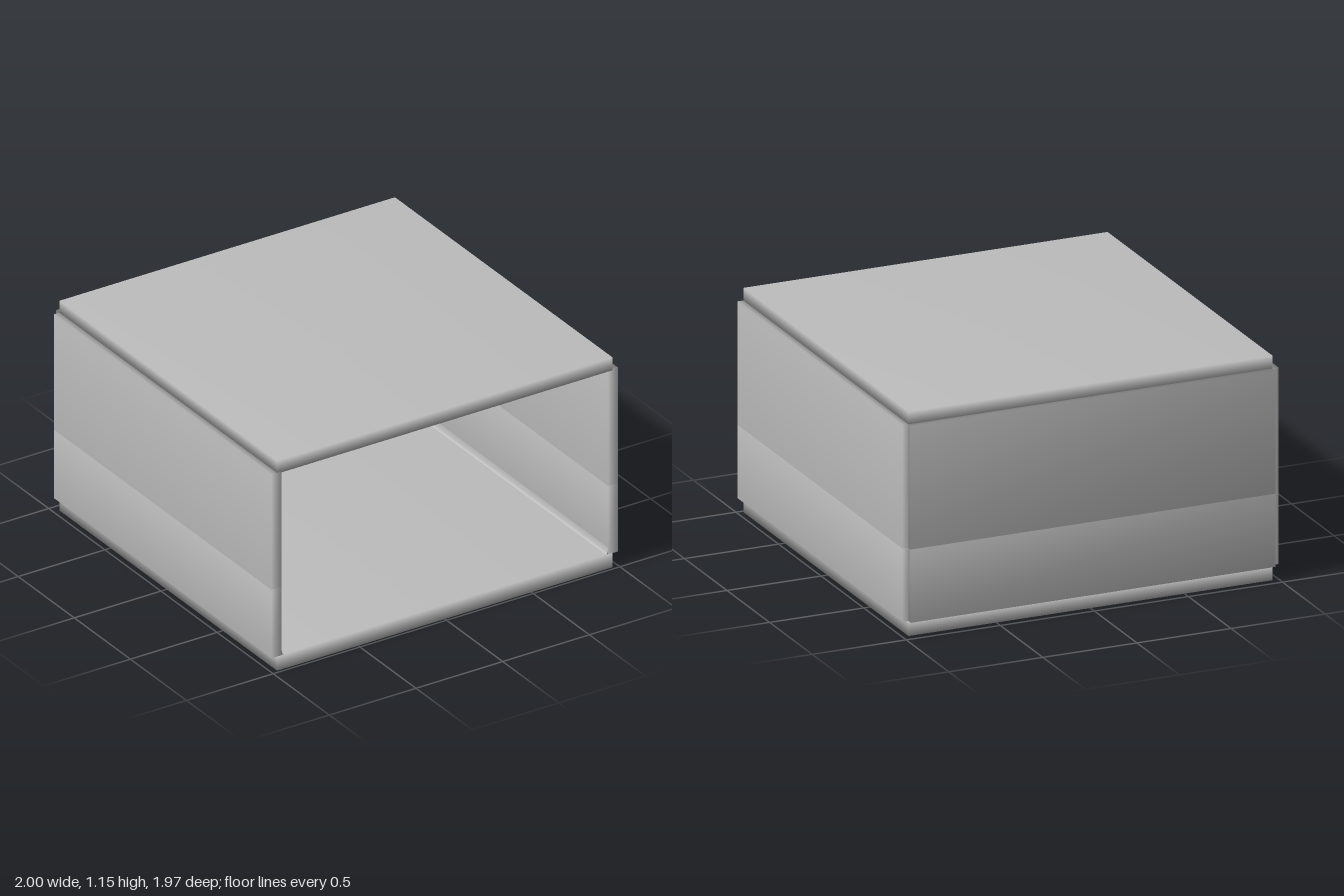
import * as THREE from 'three';
import { mergeVertices } from 'three/addons/utils/BufferGeometryUtils.js';

const grey = new THREE.MeshStandardMaterial({ color: 0xbcbcbc });
grey.name = 'plain grey';

function add(parent, name, geometry, x = 0, y = 0, z = 0) {
  const mesh = new THREE.Mesh(geometry, grey);
  mesh.name = name;
  mesh.position.set(x, y, z);
  parent.add(mesh);
  return mesh;
}

function group(parent, name) {
  const g = new THREE.Group();
  g.name = name;
  parent.add(g);
  return g;
}

// Box between two corners; soft boxes share their corner normals
function box(parent, name, [x0, x1], [y0, y1], [z0, z1], soft = false) {
  let geo = new THREE.BoxGeometry(x1 - x0, y1 - y0, z1 - z0);
  if (soft) {
    geo.deleteAttribute('normal');
    geo.deleteAttribute('uv');
    geo = mergeVertices(geo);
    geo.computeVertexNormals();
  }
  return add(parent, name, geo, (x0 + x1) / 2, (y0 + y1) / 2, (z0 + z1) / 2);
}

// Round bar bent through a few points
function bar(parent, name, points, radius) {
  const path = new THREE.CurvePath();
  const v = points.map((p) => new THREE.Vector3(...p));
  for (let i = 1; i < v.length; i++) path.add(new THREE.LineCurve3(v[i - 1], v[i]));
  return add(parent, name, new THREE.TubeGeometry(path, (v.length - 1) * 6, radius, 8));
}

// Concave skirting between floor and wall
function cove(parent, length) {
  const r = 0.035, t = 0.012;
  const s = new THREE.Shape();
  s.moveTo(0, 0);
  s.lineTo(t, 0);
  s.quadraticCurveTo(0.002, 0.004, 0, r);
  s.lineTo(0, 0);
  const geo = new THREE.ExtrudeGeometry(s, { depth: length, bevelEnabled: false, curveSegments: 6 });
  geo.translate(0, 0, -length / 2);
  return add(parent, 'skirtingCove', geo);
}

function buildRoom(model) {
  const room = group(model, 'room');
  const slabX = [-0.968, 0.968], slabZ = [-0.955, 0.985];
  box(room, 'floorSlab', slabX, [0, 0.08], slabZ, true);
  box(room, 'roofSlab', slabX, [1.085, 1.155], slabZ, true);

  // Each wall is a lower and an upper panel
  const bands = [['lower', [0.078, 0.455]], ['upper', [0.455, 1.09]]];
  for (const [level, y] of bands) {
    box(room, level + 'LeftWall', [0.942, 1], y, slabZ, true);
    box(room, level + 'RightWall', [-1, -0.942], y, slabZ, true);
    box(room, level + 'BackWall', [-0.968, 0.968], y, [-0.985, -0.927], true);
  }

  const length = 1.91;
  cove(room, length).position.set(-0.942, 0.08, 0.03);
  const left = cove(room, length);
  left.position.set(0.942, 0.08, 0.03);
  left.rotation.y = Math.PI;
  const back = cove(room, 1.884);
  back.position.set(0, 0.08, -0.927);
  back.rotation.y = -Math.PI / 2;
}

// Upright cabinet whose door faces the room's left
function buildCabinet(model, z) {
  const c = group(model, 'tallCabinet');
  c.position.z = z;
  box(c, 'cabinetBody', [-0.861, -0.69], [0.105, 0.71], [-0.1, 0.1]);
  box(c, 'cabinetDoor', [-0.687, -0.674], [0.115, 0.705], [-0.097, 0.097]);
  box(c, 'doorSeal', [-0.69, -0.687], [0.12, 0.7], [-0.09, 0.09]);
  for (const x of [-0.84, -0.7]) for (const fz of [-0.085, 0.085]) {
    add(c, 'foot', new THREE.CylinderGeometry(0.011, 0.011, 0.026, 10), x, 0.093, fz);
  }
  // Door furniture
  bar(c, 'doorHandle', [[-0.676, 0.435, 0.075], [-0.659, 0.43, 0.075], [-0.659, 0.395, 0.075], [-0.676, 0.39, 0.075]], 0.005);
  box(c, 'lock', [-0.674, -0.668], [0.445, 0.457], [0.068, 0.082]);
  box(c, 'displayPanel', [-0.674, -0.669], [0.59, 0.61], [-0.05, 0.05]);
  box(c, 'ventFrame', [-0.674, -0.67], [0.185, 0.23], [-0.05, 0.03]);
  for (let i = 0; i < 3; i++) {
    const y = 0.193 + i * 0.012;
    box(c, 'ventSlat', [-0.67, -0.667], [y, y + 0.005], [-0.044, 0.024]);
  }
}

function buildWorktop(model) {
  const w = group(model, 'worktop');
  box(w, 'worktopPlate', [-0.865, -0.675], [0.36, 0.376], [-0.045, 0.215]);
  box(w, 'worktopPad', [-0.786, -0.706], [0.376, 0.384], [-0.01, 0.095]);
}

function buildTrolley(model) {
  const t = group(model, 'trolley');
  const xs = [-0.348, -0.11], zs = [-0.77, -0.605];
  for (const y of [0.355, 0.275, 0.17]) {
    box(t, 'shelf', [-0.36, -0.095], [y, y + 0.012], [-0.78, -0.595]);
  }
  for (const x of xs) {
    for (const z of zs) {
      add(t, 'post', new THREE.CylinderGeometry(0.007, 0.007, 0.27, 10), x, 0.255, z);
      // Swivel caster
      add(t, 'casterStem', new THREE.CylinderGeometry(0.009, 0.009, 0.018, 10), x, 0.124, z);
      for (const side of [-1, 1]) {
        box(t, 'casterFork', [x + side * 0.008 - 0.0015, x + side * 0.008 + 0.0015], [0.092, 0.118], [z - 0.008, z + 0.008]);
      }
      const wheel = add(t, 'casterWheel', new THREE.CylinderGeometry(0.017, 0.017, 0.012, 16), x, 0.097, z);
      wheel.rotation.z = Math.PI / 2;
    }
    // Push bar across each end
    bar(t, 'pushBar', [[x, 0.385, zs[0]], [x, 0.385, zs[1]]], 0.007);
    box(t, 'endRail', [x - 0.015, x + 0.015], [0.376, 0.394], [-0.613, -0.597]);
  }
  // Small containers on the top shelf
  for (const x of [-0.178, -0.155, -0.137]) {
    add(t, 'container', new THREE.CylinderGeometry(0.008, 0.008, 0.024, 12), x, 0.379, -0.68);
  }
}

export function createModel() {
  const model = new THREE.Group();
  model.name = 'equippedRoom';
  buildRoom(model);
  for (const z of [-0.245, -0.455]) buildCabinet(model, z);
  buildWorktop(model);
  buildTrolley(model);
  return model;
}
